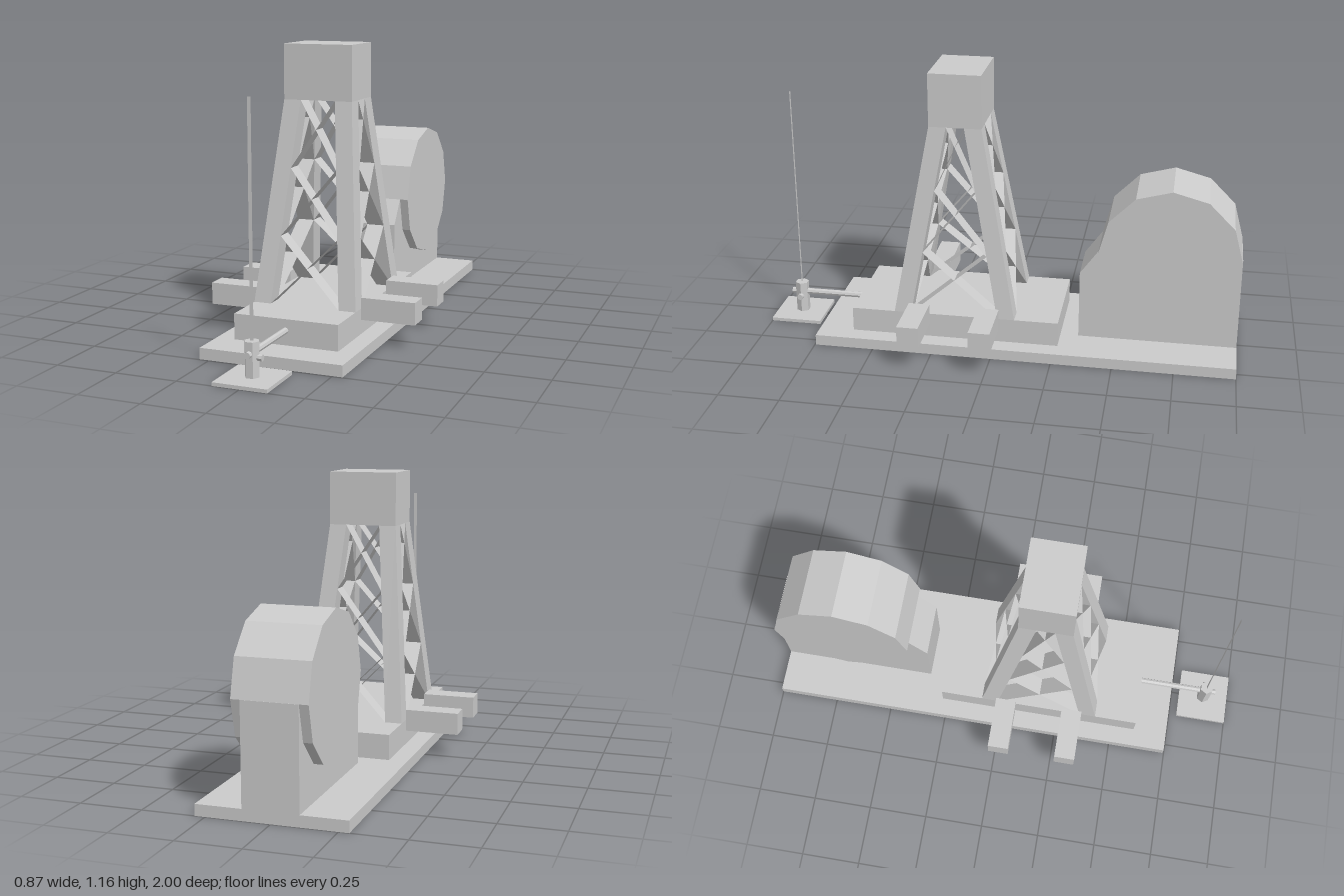
import * as THREE from 'three';

const grey = new THREE.MeshStandardMaterial({ color: 0xcccccc, flatShading: true });
const thin = new THREE.MeshStandardMaterial({ color: 0xcccccc, flatShading: true, side: THREE.DoubleSide });

export function createModel() {
  const model = new THREE.Group();
  const add = (name, geo, parent = model, mat = grey) => {
    const mesh = new THREE.Mesh(geo, mat);
    mesh.name = name;
    parent.add(mesh);
    return mesh;
  };
  // Box given by its minimum and maximum on each axis
  const box = (name, x0, x1, y0, y1, z0, z1, parent) =>
    add(name, new THREE.BoxGeometry(x1 - x0, y1 - y0, z1 - z0), parent)
      .position.set((x0 + x1) / 2, (y0 + y1) / 2, (z0 + z1) / 2);

  // Base slab and raised platform
  box('baseSlab', -0.29, 0.29, 0, 0.045, -1, 0.745);
  box('platform', -0.215, 0.215, 0.045, 0.148, -0.27, 0.6);

  // Tower, centred on its own axis
  const tower = new THREE.Group();
  tower.name = 'tower';
  tower.position.z = 0.165;
  model.add(tower);
  const y0 = 0.148, y1 = 0.945, leg = 0.071;
  const level = (t) => y0 + (y1 - y0) * t;
  const outX = (t) => 0.215 - 0.072 * t;
  const outZ = (t) => 0.253 - 0.145 * t;
  box('towerHead', -0.143, 0.143, y1, 1.165, -0.108, 0.108, tower);

  // Four leaning legs: boxes sheared towards the head
  for (const sx of [-1, 1]) for (const sz of [-1, 1]) {
    const geo = new THREE.BoxGeometry(leg, 1, leg);
    const p = geo.attributes.position;
    for (let i = 0; i < p.count; i++) {
      const t = p.getY(i) + 0.5;
      p.setXYZ(i, p.getX(i) + sx * (outX(t) - leg / 2), level(t), p.getZ(i) + sz * (outZ(t) - leg / 2));
    }
    geo.computeVertexNormals();
    add('towerLeg', geo, tower);
  }

  // Crossed flat braces, three bays on each of the four sides
  const brace = (t0, t1, dir, side, alongX) => {
    const span = alongX ? outX : outZ, depth = alongX ? outZ : outX;
    const pts = [];
    for (const [t, d] of [[t0, -dir], [t1, dir]])
      for (const w of [0, leg]) {
        const a = d * (span(t) - leg), b = side * (depth(t) - w);
        pts.push(...(alongX ? [a, level(t), b] : [b, level(t), a]));
      }
    const geo = new THREE.BufferGeometry();
    geo.setAttribute('position', new THREE.Float32BufferAttribute(pts, 3));
    geo.setIndex([0, 1, 3, 0, 3, 2]);
    geo.computeVertexNormals();
    add('crossBrace', geo, tower, thin);
  };
  const bays = 3;
  for (let i = 0; i < bays; i++)
    for (const dir of [-1, 1]) for (const side of [-1, 1]) for (const alongX of [true, false])
      brace(i / bays, (i + 1) / bays, dir, side, alongX);

  // Stub beams sticking out on both sides
  for (const z of [0.02, 0.312]) {
    box('leftBeam', 0.215, 0.435, 0.102, 0.191, z - 0.044, z + 0.044);
    box('rightBeam', -0.435, -0.215, 0.102, 0.191, z - 0.044, z + 0.044);
  }

  // Twelve-sided drum on its pedestal
  const drum = add('drum', new THREE.CylinderGeometry(0.29, 0.29, 0.29, 12));
  drum.rotation.z = Math.PI / 2;
  drum.position.set(0, 0.438, -0.709);
  const profile = new THREE.Shape([[0.345, 0.045], [1, 0.045], [1, 0.438], [0.419, 0.438], [0.345, 0.335]]
    .map(([z, y]) => new THREE.Vector2(z, y)));
  const pedestal = add('drumPedestal',
    new THREE.ExtrudeGeometry(profile, { depth: 0.218, bevelEnabled: false }));
  pedestal.rotation.y = Math.PI / 2;
  pedestal.position.x = -0.109;

  // Wellhead with post, pipe, knob and thin line
  const wellZ = 0.892;
  box('wellPlate', -0.108, 0.108, 0, 0.014, 0.784, 1);
  const post = add('wellPost', new THREE.CylinderGeometry(0.029, 0.029, 0.134, 6));
  post.rotation.y = Math.PI / 6;
  post.position.set(0, 0.081, wellZ);
  const pipe = add('pipe', new THREE.CylinderGeometry(0.013, 0.013, 0.337, 8));
  pipe.rotation.x = Math.PI / 2;
  pipe.position.set(0, 0.103, 0.7665);
  const knob = add('knob', new THREE.CylinderGeometry(0.013, 0.013, 0.042, 8));
  knob.rotation.z = Math.PI / 2;
  knob.position.set(0.021, 0.088, wellZ);
  add('line', new THREE.PlaneGeometry(0.014, 0.872), model, thin).position.set(0, 0.584, wellZ);

  return model;
}
